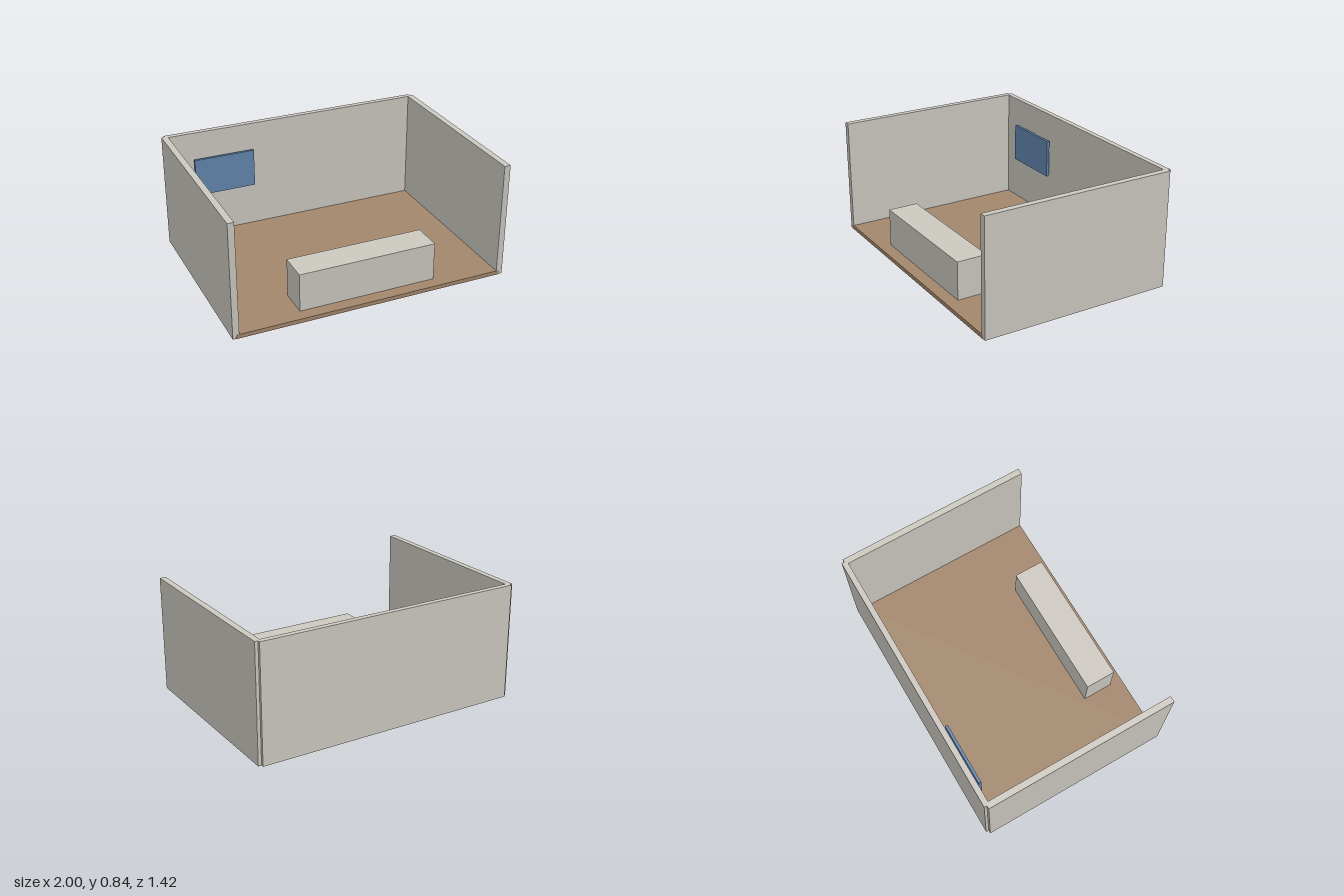
import * as THREE from 'three';

const material = (name, color) => {
  const m = new THREE.MeshStandardMaterial({ color });
  m.name = name;
  return m;
};

// Box given by its extents along each axis
function box(name, mat, [x0, x1], [y0, y1], [z0, z1]) {
  const mesh = new THREE.Mesh(new THREE.BoxGeometry(x1 - x0, y1 - y0, z1 - z0), mat);
  mesh.position.set((x0 + x1) / 2, (y0 + y1) / 2, (z0 + z1) / 2);
  mesh.name = name;
  return mesh;
}

export function createModel() {
  const plaster = material('plaster', 0xccc8c0);
  const wood = material('wood', 0xa2866c);
  const blue = material('blue', 0x6286b0);

  const room = new THREE.Group();
  room.name = 'room';
  const height = 0.84;
  const base = 0.001; // walls sit a hair inside the floor faces so the floor shows

  // Floor
  room.add(box('floor', wood, [-0.977, 0.977], [0, 0.03], [-0.69, 0.71]));

  // Walls: open at the front, back wall set slightly behind the side walls
  room.add(box('rightWall', plaster, [-1, -0.955], [base, height], [-0.69, 0.709]));
  room.add(box('leftWall', plaster, [0.955, 1], [base, height], [-0.69, 0.709]));
  room.add(box('backWall', plaster, [-0.977, 0.977], [base, height], [-0.71, -0.67]));

  // Counter near the open front
  room.add(box('counter', plaster, [-0.5, 0.5], [0.03, 0.308], [0.4, 0.62]));

  // Panel hanging just off the back wall
  room.add(box('wallPanel', blue, [-0.785, -0.335], [0.365, 0.645], [-0.645, -0.625]));

  return room;
}
